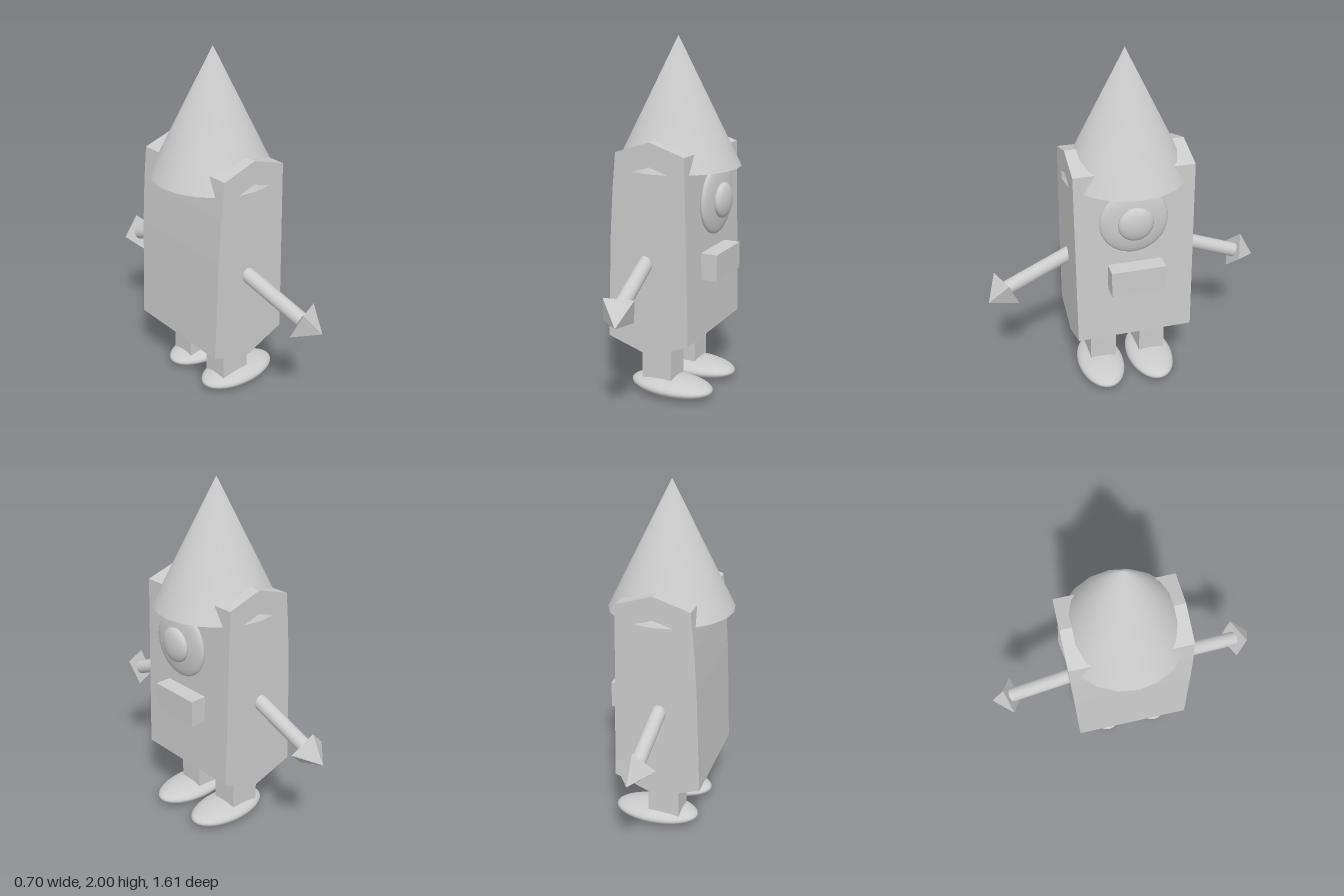
import * as THREE from 'three';
import { mergeVertices } from 'three/addons/utils/BufferGeometryUtils.js';

export function createModel() {
  const model = new THREE.Group();
  const smooth = new THREE.MeshStandardMaterial({ color: 0xcccccc });
  const flat = new THREE.MeshStandardMaterial({ color: 0xcccccc, flatShading: true });

  function add(name, geometry, material, x = 0, y = 0, z = 0) {
    const mesh = new THREE.Mesh(geometry, material);
    mesh.name = name;
    mesh.position.set(x, y, z);
    model.add(mesh);
    return mesh;
  }
  const ellipsoid = (rx, ry, rz) => new THREE.SphereGeometry(1, 32, 20).scale(rx, ry, rz);

  // Body: side profile extruded across the width
  const profile = [
    [0, 1.465], [-0.205, 1.4], [-0.225, 1.2], [-0.242, 0.95],
    [-0.265, 0.355], [-0.01, 0.28], [0.23, 0.375], [0.205, 1.4],
  ].map(([x, y]) => new THREE.Vector2(x, y));
  const body = new THREE.ExtrudeGeometry(new THREE.Shape(profile), { depth: 0.666, bevelEnabled: false });
  add('body', body.translate(0, 0, -0.333), flat);

  // Pointed hat, with normals shared at the tip
  let hat = new THREE.ConeGeometry(0.35, 0.7, 20, 1, true);
  hat.rotateY(Math.PI / 2);
  hat.deleteAttribute('normal');
  hat.deleteAttribute('uv');
  hat = mergeVertices(hat, 1e-4);
  hat.computeVertexNormals();
  add('hat', hat, smooth, 0, 1.65, 0);
  add('hatBase', new THREE.CircleGeometry(0.35, 20).rotateX(Math.PI / 2), flat, 0, 1.3, 0);

  // Single eye and mouth on the +x face
  add('eye', ellipsoid(0.037, 0.19, 0.19), smooth, 0.243, 1.127, 0.015);
  add('pupil', ellipsoid(0.037, 0.098, 0.098), smooth, 0.283, 1.127, 0.015);
  add('mouth', new THREE.BoxGeometry(0.125, 0.15, 0.306), flat, 0.25, 0.778, 0.002);

  // Legs and feet
  for (const [side, legZ, footZ] of [['front', 0.152, 0.167], ['back', -0.149, -0.14]]) {
    add(side + 'Leg', new THREE.BoxGeometry(0.184, 0.35, 0.154), flat, -0.021, 0.235, legZ);
    add(side + 'Foot', ellipsoid(0.25, 0.053, 0.137), smooth, 0.046, 0.056, footZ);
  }

  // Arms with pyramid hands
  const arms = [
    { side: 'front', shoulder: [-0.04, 0.835, 0.25], wrist: [0.025, 0.67, 0.695], tip: [0.07, 0.617, 0.805], roll: Math.PI / 4 - 0.08 },
    { side: 'back', shoulder: [-0.03, 0.835, -0.25], wrist: [-0.025, 0.67, -0.685], tip: [-0.02, 0.625, -0.806], roll: 0 },
  ];
  for (const { side, shoulder, wrist, tip, roll } of arms) {
    const [a, b, c] = [shoulder, wrist, tip].map((p) => new THREE.Vector3(...p));
    const arm = new THREE.CylinderGeometry(0.042, 0.042, a.distanceTo(b), 24).rotateX(Math.PI / 2);
    add(side + 'Arm', arm, smooth, ...a.clone().add(b).multiplyScalar(0.5)).lookAt(b);
    const hand = new THREE.ConeGeometry(0.112, b.distanceTo(c), 4).rotateX(Math.PI / 2).rotateZ(roll);
    add(side + 'Hand', hand, flat, ...b.clone().add(c).multiplyScalar(0.5)).lookAt(c);
  }
  return model;
}
